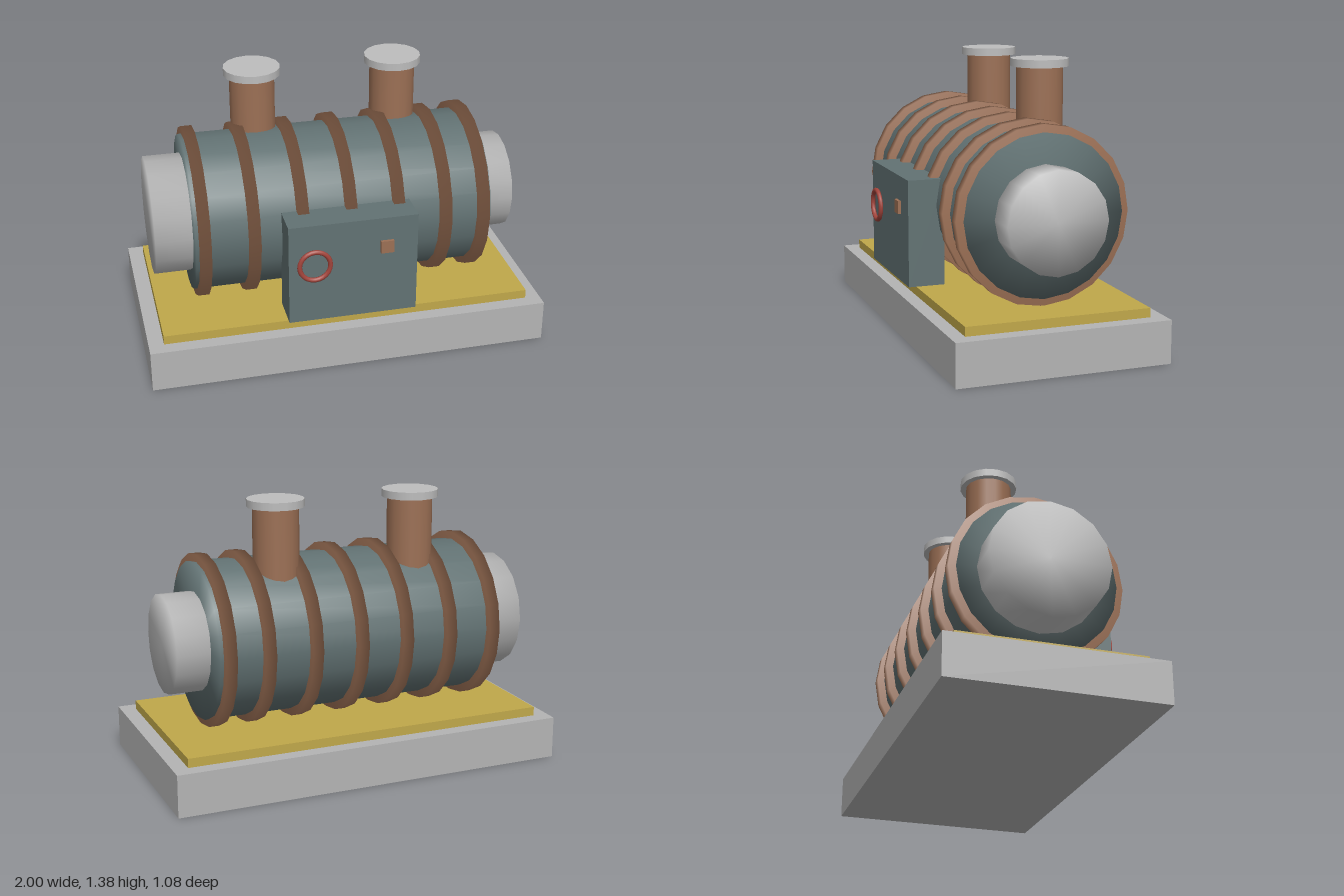
import * as THREE from 'three';
import { mergeVertices } from 'three/addons/utils/BufferGeometryUtils.js';

const mat = (name, color) => {
  const m = new THREE.MeshStandardMaterial({ color });
  m.name = name;
  return m;
};

export function createModel() {
  const model = new THREE.Group();
  model.name = 'boilerTank';
  const concrete = mat('paleGrey', 0xb4b4b4);
  const yellow = mat('mustardYellow', 0xc0a84a);
  const steel = mat('slateGreen', 0x627273);
  const copper = mat('copperBrown', 0x9c7055);
  const silver = mat('silver', 0xbdbdbd);
  const red = mat('valveRed', 0xa3453c);

  const add = (name, geometry, material, x, y, z) => {
    const mesh = new THREE.Mesh(geometry, material);
    mesh.name = name;
    mesh.position.set(x, y, z);
    model.add(mesh);
    return mesh;
  };
  // Box given by its limits on each axis
  const box = (name, material, x0, x1, y0, y1, z0, z1) =>
    add(name, new THREE.BoxGeometry(x1 - x0, y1 - y0, z1 - z0), material,
      (x0 + x1) / 2, (y0 + y1) / 2, (z0 + z1) / 2);

  // Drum lying along x, with normals softened over the rim
  const axisY = 0.68, axisZ = -0.015;
  const drum = (name, material, radius, x0, x1, sides) => {
    let g = new THREE.CylinderGeometry(radius, radius, x1 - x0, sides);
    g.rotateZ(-Math.PI / 2);
    g.deleteAttribute('normal');
    g.deleteAttribute('uv');
    g = mergeVertices(g, 1e-4);
    g.computeVertexNormals();
    return add(name, g, material, (x0 + x1) / 2, axisY, axisZ);
  };

  // Plinth and mounting plate
  box('plinth', concrete, -1, 1, 0, 0.21, -0.54, 0.51);
  box('mountingPlate', yellow, -0.925, 0.925, 0.21, 0.255, -0.468, 0.44);

  // Tank, end caps and hoops
  drum('tank', steel, 0.39, -0.738, 0.733, 20);
  drum('rightEndCap', silver, 0.295, -0.92, -0.7, 16);
  drum('leftEndCap', silver, 0.246, 0.7, 0.9, 16);
  for (const x of [-0.695, -0.456, -0.218, 0.02, 0.258, 0.496, 0.69]) {
    drum('hoop', copper, 0.427, x - 0.0275, x + 0.0275, 20);
  }

  // Stacks with flanged lids
  for (const x of [-0.36, 0.354]) {
    add('stack', new THREE.CylinderGeometry(0.113, 0.113, 0.44, 16), copper, x, 1.12, -0.137);
    add('stackLid', new THREE.CylinderGeometry(0.141, 0.141, 0.038, 16), silver, x, 1.356, -0.137);
  }

  // Control cabinet with hand wheel and button
  box('cabinet', steel, -0.32, 0.316, 0.29, 0.81, 0.335, 0.515);
  add('handWheel', new THREE.TorusGeometry(0.0755, 0.012, 8, 24), red, -0.195, 0.6, 0.53);
  box('button', copper, 0.13, 0.195, 0.626, 0.69, 0.505, 0.53);
  return model;
}
